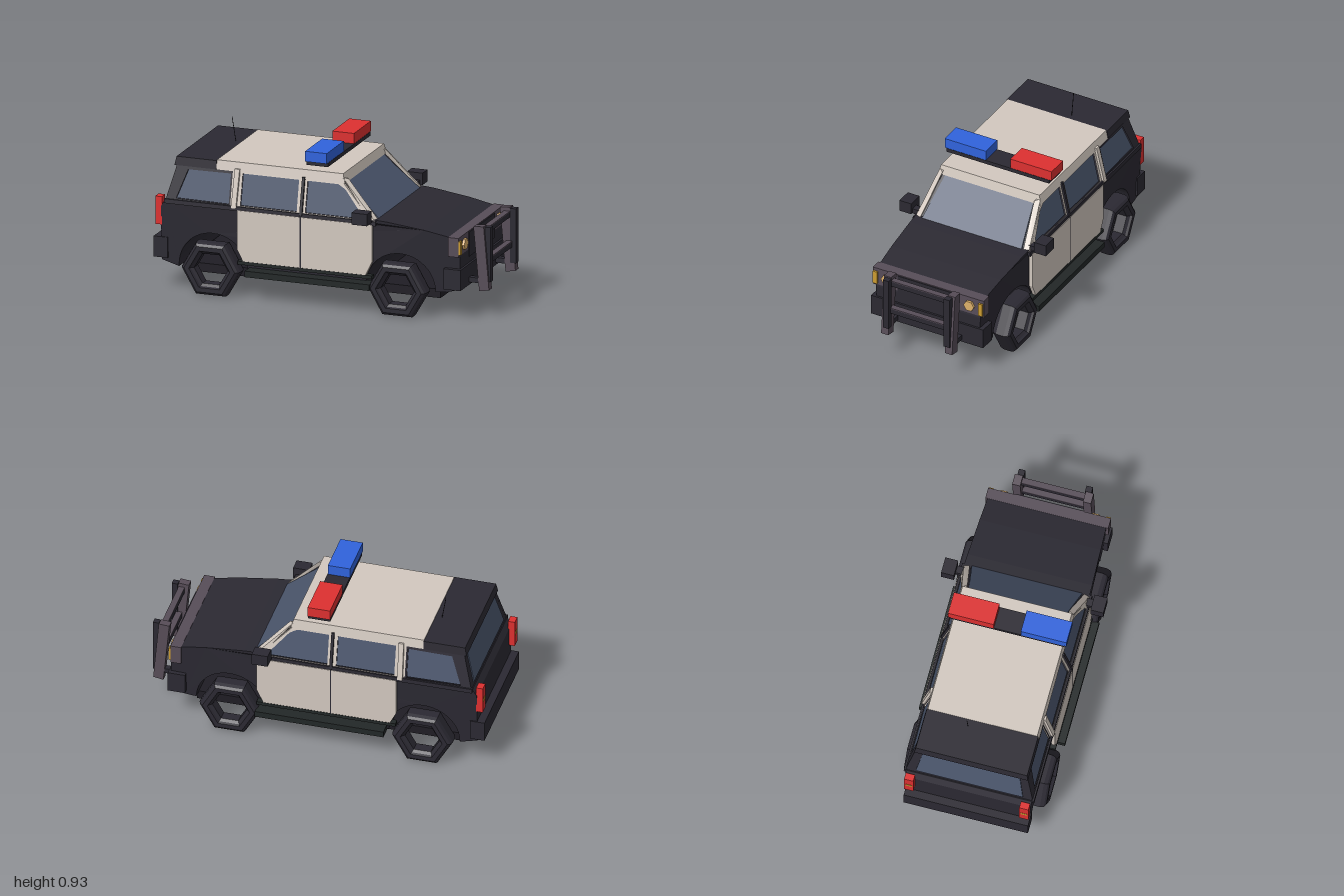
import * as THREE from 'three';
import { ConvexGeometry } from 'three/addons/geometries/ConvexGeometry.js';

const mat = (color) => new THREE.MeshStandardMaterial({ color, flatShading: true });

export function createModel() {
  const car = new THREE.Group();
  car.name = 'patrolCar';
  const black = mat(0x2b2932), dark = mat(0x1f1d24), beige = mat(0xd2c8bf), glass = mat(0x4b566d);
  const steel = mat(0x574d58), sill = mat(0x222727), red = mat(0xdd3030), blue = mat(0x3063dc);
  const amber = mat(0xcc9c30), lamp = mat(0xddb06a);

  const add = (name, geometry, material) => {
    const m = new THREE.Mesh(geometry, material);
    m.name = name;
    car.add(m);
    return m;
  };
  // box given by its limits
  const box = (name, material, x0, x1, y0, y1, z0, z1) => {
    const g = new THREE.BoxGeometry(x1 - x0, y1 - y0, Math.abs(z1 - z0));
    g.translate((x0 + x1) / 2, (y0 + y1) / 2, (z0 + z1) / 2);
    return add(name, g, material);
  };
  // convex solid from corner points
  const hull = (name, material, pts) =>
    add(name, new ConvexGeometry(pts.map((p) => new THREE.Vector3(...p))), material);
  const shapeOf = (pts) => new THREE.Shape(pts.map((p) => new THREE.Vector2(...p)));

  // side surface: upright doors, cabin leaning inwards above the belt line
  const sideZ = (y) => (y > 0.53 ? 0.375 - (y - 0.53) * 0.22 : 0.375);
  const sidePanel = (name, material, s, pts, offset, thick, holes = []) => {
    const shape = shapeOf(pts);
    holes.forEach((h) => shape.holes.push(shapeOf(h)));
    const g = new THREE.ExtrudeGeometry(shape, { depth: thick, bevelEnabled: false });
    const p = g.attributes.position;
    for (let i = 0; i < p.count; i++) {
      p.setZ(i, s * (sideZ(p.getY(i)) + offset) + p.getZ(i) - thick / 2);
    }
    g.computeVertexNormals();
    return add(name, g, material);
  };

  // lower body with open wheel arches, tapered to the nose and to the floor
  const body = new THREE.Shape();
  body.moveTo(-0.955, 0.17);
  body.lineTo(-0.85, 0.14);
  body.absarc(-0.64, 0.15, 0.21, Math.PI, 0, true);
  body.lineTo(0.29, 0.15);
  body.absarc(0.5, 0.15, 0.21, Math.PI, 0, true);
  [[0.78, 0.155], [0.86, 0.18], [0.86, 0.37], [0.84, 0.48], [0.65, 0.515], [0.42, 0.543], [0.34, 0.548],
    [0.3, 0.53], [-0.93, 0.53], [-0.955, 0.49]].forEach((p) => body.lineTo(...p));
  const bodyGeo = new THREE.ExtrudeGeometry(body, { depth: 0.74, bevelEnabled: false, curveSegments: 12 });
  bodyGeo.translate(0, 0, -0.37);
  const bp = bodyGeo.attributes.position;
  for (let i = 0; i < bp.count; i++) {
    const x = bp.getX(i), y = bp.getY(i);
    const nose = 1 - 0.06 * Math.max(0, (x - 0.36) / 0.5);
    const tuck = 1 - 0.05 * Math.max(0, (0.5 - y) / 0.35);
    bp.setZ(i, bp.getZ(i) * nose * tuck);
  }
  bodyGeo.computeVertexNormals();
  add('lowerBody', bodyGeo, black);
  box('chassis', dark, -0.84, 0.72, 0.1, 0.152, -0.285, 0.285);

  // roof slab and black rear roof cap
  const slab = (name, m, x0, x1, xTop0, xTop1, y0, y1, z0, z1) => hull(name, m, [1, -1].flatMap((s) =>
    [[x0, y0, s * z0], [x1, y0, s * z0], [xTop0, y1, s * z1], [xTop1, y1, s * z1]]));
  slab('roof', beige, -0.63, 0.155, -0.63, 0.14, 0.733, 0.787, 0.333, 0.322);
  slab('rearRoofCap', black, -0.885, -0.63, -0.875, -0.63, 0.733, 0.783, 0.335, 0.328);

  // windscreen and tailgate glass with rails
  const crossPane = (name, m, xb, yb, zb, xt, yt, zt, t) => hull(name, m, [1, -1].flatMap((s) =>
    [[xb, yb, s * zb], [xb + t, yb, s * zb], [xt, yt, s * zt], [xt + t, yt, s * zt]]));
  crossPane('windscreenSurround', black, 0.355, 0.535, 0.35, 0.142, 0.74, 0.305, -0.02);
  crossPane('windscreen', glass, 0.358, 0.547, 0.325, 0.152, 0.733, 0.289, -0.02);
  crossPane('tailgateSurround', black, -0.925, 0.528, 0.36, -0.87, 0.74, 0.325, 0.03);
  crossPane('tailgateGlass', glass, -0.925, 0.55, 0.315, -0.877, 0.73, 0.285, 0.02);

  const rearWindow = [[-0.86, 0.548], [-0.8, 0.715], [-0.54, 0.718], [-0.54, 0.545]];
  const midWindow = [[-0.468, 0.545], [-0.468, 0.725], [-0.125, 0.725], [-0.125, 0.545]];
  const frontWindow = [[-0.072, 0.545], [-0.072, 0.725], [0.115, 0.725], [0.16, 0.7], [0.265, 0.575], [0.265, 0.545]];

  for (const s of [1, -1]) {
    // window frames and glass
    sidePanel('rearQuarterFrame', black, s, [[-0.925, 0.53], [-0.87, 0.74], [-0.53, 0.74], [-0.53, 0.53]],
      -0.008, 0.016, [rearWindow]);
    sidePanel('doorFrames', beige, s, [[-0.53, 0.53], [-0.53, 0.74], [0.14, 0.74], [0.34, 0.53]],
      -0.008, 0.016, [midWindow, frontWindow]);
    [rearWindow, midWindow, frontWindow].forEach((w) => sidePanel('sideGlass', glass, s, w, -0.011, 0.008));
    sidePanel('beltLine', black, s, [[-0.93, 0.515], [-0.93, 0.54], [0.36, 0.54], [0.36, 0.515]], 0.002, 0.016);

    // pillars
    hull('frontPillar', beige, [[0.125, 0.765, s * 0.305], [0.165, 0.755, s * 0.3], [0.14, 0.765, s * 0.328],
      [0.325, 0.532, s * 0.372], [0.37, 0.532, s * 0.34], [0.36, 0.532, s * 0.372], [0.33, 0.532, s * 0.34]]);
    sidePanel('rearDoorPillar', beige, s, [[-0.52, 0.53], [-0.515, 0.75], [-0.485, 0.75], [-0.49, 0.53]], 0.006, 0.018);
    sidePanel('middlePillar', black, s, [[-0.104, 0.53], [-0.104, 0.745], [-0.088, 0.745], [-0.088, 0.53]], 0.004, 0.018);

    // doors, trimmed around the arches, with the shut line between
    sidePanel('rearDoor', beige, s, [[-0.483, 0.29], [-0.483, 0.52], [-0.1, 0.52], [-0.1, 0.22], [-0.447, 0.22]], 0.002, 0.022);
    sidePanel('frontDoor', beige, s, [[-0.092, 0.22], [-0.092, 0.52], [0.34, 0.52], [0.34, 0.3], [0.302, 0.22]], 0.002, 0.022);
    box('doorGap', black, -0.1, -0.092, 0.2, 0.53, s * 0.36, s * 0.389);
    box('doorSill', sill, -0.48, 0.34, 0.2, 0.22, s * 0.35, s * 0.39);
    box('runningBoard', sill, -0.42, 0.34, 0.142, 0.178, s * 0.34, s * 0.43);

    // mirrors
    box('mirror', black, 0.25, 0.345, 0.54, 0.61, s * 0.402, s * 0.478);
    box('mirrorArm', black, 0.285, 0.33, 0.538, 0.568, s * 0.35, s * 0.405);

    // front lamps
    const head = new THREE.CylinderGeometry(0.034, 0.034, 0.02, 6).rotateZ(-Math.PI / 2);
    head.translate(0.862, 0.435, s * 0.27);
    add('headlight', head, lamp);
    box('frontIndicator', amber, 0.85, 0.869, 0.39, 0.47, s * 0.331, s * 0.358);

    // tail lamps
    box('tailLight', red, -0.99, -0.95, 0.38, 0.545, s * 0.312, s * 0.366);
    box('tailIndicator', amber, -0.992, -0.985, 0.45, 0.47, s * 0.32, s * 0.358);

    // push bar uprights with rubber faces and mounts
    hull('pushBarPost', steel, [0.185, 0.232].flatMap((z) =>
      [[0.9, 0.53, s * z], [0.962, 0.535, s * z], [0.995, 0.16, s * z], [0.935, 0.15, s * z]]));
    box('pushBarPad', black, 0.965, 1, 0.207, 0.53, s * 0.18, s * 0.218);
    box('pushBarMount', black, 0.84, 0.95, 0.195, 0.225, s * 0.19, s * 0.226);
  }

  // front end
  box('lampPanel', steel, 0.795, 0.858, 0.377, 0.49, -0.362, 0.362);
  box('grille', black, 0.8, 0.864, 0.34, 0.485, -0.2, 0.2);
  box('frontBumper', black, 0.77, 0.872, 0.18, 0.303, -0.366, 0.366);
  box('rearBumper', black, -1, -0.915, 0.185, 0.307, -0.366, 0.366);
  [[0.475, 0.925], [0.3, 0.94]].forEach(([y, x]) => {
    box('pushBarRail', black, x, x + 0.036, y, y + 0.03, -0.19, 0.19);
    box('pushBarRailTop', steel, x, x + 0.036, y + 0.03, y + 0.036, -0.19, 0.19);
  });

  // light bar and aerial
  box('lightBarBase', black, -0.08, 0.052, 0.82, 0.843, -0.335, 0.335);
  box('blueBeacon', blue, -0.082, 0.05, 0.843, 0.904, 0.08, 0.349);
  box('redBeacon', red, -0.082, 0.05, 0.843, 0.904, -0.349, -0.08);
  const aerial = new THREE.CylinderGeometry(0.002, 0.002, 0.142, 5);
  aerial.rotateZ(0.16).translate(-0.68, 0.855, -0.075);
  add('aerial', aerial, dark);

  // six-sided wheels with stepped rims, open in the middle
  const tyre = [[0.102, -0.03], [0.118, -0.044], [0.125, -0.057], [0.155, -0.057], [0.171, -0.046], [0.179, -0.025]];
  const ring = [...tyre, ...tyre.map(([r, y]) => [r, -y]).reverse(), tyre[0]];
  for (const x of [-0.64, 0.498]) {
    for (const z of [-0.363, 0.363]) {
      const g = new THREE.LatheGeometry(ring.map((p) => new THREE.Vector2(...p)), 6);
      g.rotateY(Math.PI / 6).rotateX(Math.PI / 2).translate(x, 0.155, z);
      add('wheel', g, black);
    }
  }
  return car;
}
